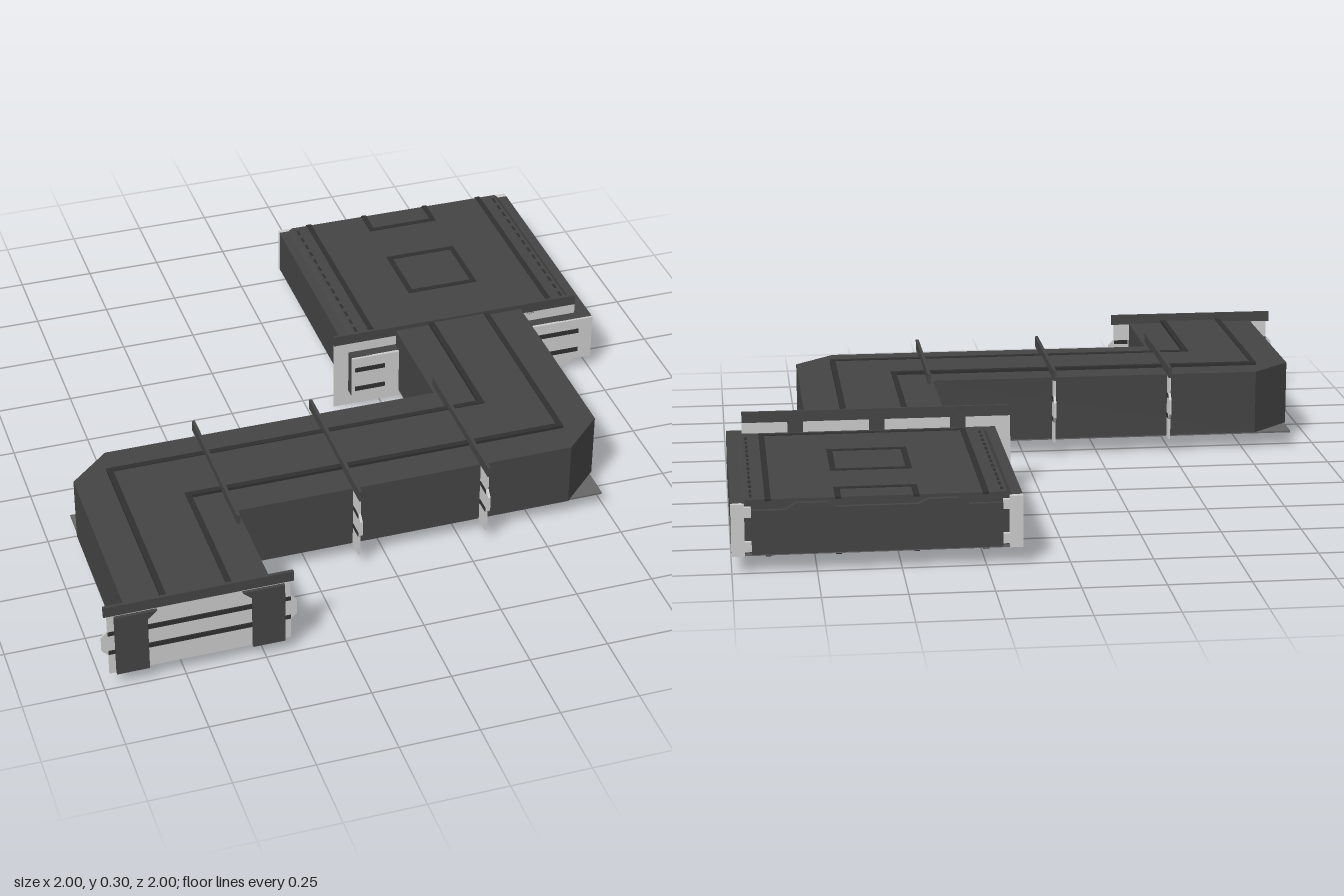
import * as THREE from 'three';

const mat = (color) => new THREE.MeshStandardMaterial({ color });
const DARK = mat(0x444444), TRIM = mat(0x303030), FLOOR = mat(0x666666), GREY = mat(0xcccccc);

export function createModel() {
  const root = new THREE.Group();

  const add = (parent, name, geometry, material) => {
    const mesh = new THREE.Mesh(geometry, material);
    mesh.name = name;
    parent.add(mesh);
    return mesh;
  };
  // Box given by its limits on each axis
  const box = (parent, name, [x0, x1], [y0, y1], [z0, z1], material) => {
    const mesh = add(parent, name, new THREE.BoxGeometry(x1 - x0, y1 - y0, z1 - z0), material);
    mesh.position.set((x0 + x1) / 2, (y0 + y1) / 2, (z0 + z1) / 2);
    return mesh;
  };
  // Horizontal slab from an outline of [x, z] points
  const slab = (parent, name, points, y0, y1, material) => {
    const shape = new THREE.Shape(points.map(([x, z]) => new THREE.Vector2(x, -z)));
    const g = new THREE.ExtrudeGeometry(shape, { depth: y1 - y0, bevelEnabled: false });
    g.rotateX(-Math.PI / 2).translate(0, y0, 0);
    return add(parent, name, g, material);
  };
  // Thin strips following a path of axis-aligned [x, z] points
  const strips = (parent, name, points, y0, y1, w = 0.018) => {
    for (let i = 0; i + 1 < points.length; i++) {
      const [a, b] = [points[i], points[i + 1]];
      box(parent, name,
        [Math.min(a[0], b[0]) - w / 2, Math.max(a[0], b[0]) + w / 2], [y0, y1],
        [Math.min(a[1], b[1]) - w / 2, Math.max(a[1], b[1]) + w / 2], TRIM);
    }
  };

  // Corridor: Z-shaped hull with chamfered outer corners
  const corridor = new THREE.Group();
  corridor.name = 'corridor';
  root.add(corridor);
  const hull = [[-0.92, 0.985], [-0.475, 0.985], [-0.475, 0.615], [0.62, 0.615], [0.75, 0.49],
    [0.75, -0.18], [0.305, -0.18], [0.305, 0.2], [-0.79, 0.2], [-0.92, 0.32]];
  const base = [[-0.915, 0.985], [-0.475, 0.985], [-0.475, 0.605], [0.74, 0.605],
    [0.74, -0.18], [0.305, -0.18], [0.305, 0.208], [-0.915, 0.208]];
  slab(corridor, 'corridorWalls', hull, 0.056, 0.268, DARK);
  slab(corridor, 'corridorFloor', base, 0.05, 0.056, FLOOR);
  slab(corridor, 'corridorRoofBand', [[-0.8, 0.985], [-0.6, 0.985], [-0.6, 0.5], [0.63, 0.5],
    [0.63, -0.18], [0.43, -0.18], [0.43, 0.3], [-0.8, 0.3]], 0.268, 0.275, DARK);
  const lines = [
    [[-0.8, 0.975], [-0.8, 0.305], [0.43, 0.305], [0.43, -0.17]],
    [[-0.6, 0.975], [-0.6, 0.5], [0.625, 0.5], [0.625, -0.17]],
  ];
  for (const line of lines) {
    strips(corridor, 'roofTrim', line, 0.266, 0.278);
    strips(corridor, 'floorTrim', line, 0.048, 0.054);
  }

  // Bulkhead frame in its own XY plane, centred on x = 0
  const bulkhead = (name, half) => {
    const frame = new THREE.Group();
    frame.name = name;
    const s = new THREE.Shape();
    const side = [[half, 0.05], [half, 0.12], [half + 0.02, 0.14], [half + 0.02, 0.19], [half, 0.21], [half, 0.266]];
    s.setFromPoints([...side, ...side.map(([x, y]) => [-x, y]).reverse()].map((p) => new THREE.Vector2(...p)));
    const g = new THREE.ExtrudeGeometry(s, { depth: 0.008, bevelEnabled: false }).translate(0, 0, -0.004);
    add(frame, 'framePlate', g, GREY);
    box(frame, 'frameTopBar', [-half - 0.01, half + 0.01], [0.265, 0.3], [-0.005, 0.005], DARK);
    for (const sgn of [-1, 1]) for (const y of [0.13, 0.2]) {
      const rib = box(frame, 'frameRib', [-0.025, 0.025], [y - 0.007, y + 0.007], [-0.006, 0.006], TRIM);
      rib.position.x = sgn * (half - 0.025);
    }
    root.add(frame);
    return frame;
  };
  for (const x of [-0.49, -0.1, 0.32]) {
    const frame = bulkhead('corridorFrame', 0.25);
    frame.rotation.y = Math.PI / 2;
    frame.position.set(x, 0, 0.42);
  }

  // Corridor end with closed door
  const end = bulkhead('endFrame', 0.28);
  end.position.set(-0.7, 0, 0.985);
  for (const sgn of [-1, 1]) {
    const post = box(end, 'doorPost', [-0.05, 0.05], [0.05, 0.262], [0, 0.015], DARK);
    post.position.x = sgn * 0.21;
    const corner = new THREE.Shape([[0.16, 0.262], [0.13, 0.262], [0.16, 0.235]]
      .map(([x, y]) => new THREE.Vector2(sgn * x, y)));
    add(end, 'doorCorner', new THREE.ExtrudeGeometry(corner, { depth: 0.015, bevelEnabled: false }), DARK);
  }
  for (const y of [0.13, 0.2])
    box(end, 'doorStripe', [-0.16, 0.16], [y - 0.008, y + 0.008], [0, 0.008], TRIM);

  // Room
  const room = new THREE.Group();
  room.name = 'room';
  root.add(room);
  box(room, 'roomWalls', [0.14, 1], [0.056, 0.21], [-0.985, -0.15], DARK);
  box(room, 'roomFloor', [0.15, 0.99], [0.05, 0.056], [-0.99, -0.15], FLOOR);
  // Raised roof panel with sloped edges
  const roof = box(room, 'roomRoof', [0.17, 0.97], [0.208, 0.22], [-0.985, -0.235], DARK);
  const rp = roof.geometry.attributes.position;
  for (let i = 0; i < rp.count; i++) if (rp.getY(i) > 0) {
    rp.setX(i, rp.getX(i) * 0.96);
    if (rp.getZ(i) > 0) rp.setZ(i, rp.getZ(i) - 0.025);
  }
  roof.geometry.computeVertexNormals();

  // Front face of the room: light panels with stripes either side of the corridor
  for (const [x0, x1] of [[0.14, 0.304], [0.751, 1]]) {
    box(room, 'frontPanel', [x0, x1], [0.052, 0.21], [-0.152, -0.142], GREY);
    for (const y of [0.09, 0.165])
      box(room, 'frontStripe', [x0 + 0.01, x1 - 0.05], [y - 0.008, y + 0.008], [-0.15, -0.139], TRIM);
  }
  // Back face: notched wall and light corner brackets
  const notch = [[0.2, 0.056], [0.94, 0.056], [0.94, 0.19], [0.84, 0.19], [0.81, 0.21], [0.72, 0.21], [0.69, 0.195],
    [0.45, 0.195], [0.42, 0.21], [0.33, 0.21], [0.3, 0.19], [0.2, 0.19]].map((p) => new THREE.Vector2(...p));
  add(room, 'backWall', new THREE.ExtrudeGeometry(new THREE.Shape(notch),
    { depth: 0.015, bevelEnabled: false }).translate(0, 0, -1), DARK);
  for (const [x0, x1, f0, f1] of [[0.14, 0.18, 0.18, 0.2], [0.96, 1, 0.94, 0.96]]) {
    box(room, 'backPost', [x0, x1], [0.052, 0.21], [-1, -0.98], GREY);
    for (const y of [0.065, 0.17])
      box(room, 'backBracket', [f0, f1], [y, y + 0.03], [-1, -0.98], GREY);
  }

  // Trim outlines on the roof and underside
  const square = [[0.455, -0.69], [0.685, -0.69], [0.685, -0.465], [0.455, -0.465], [0.455, -0.69]];
  const half = [[0.455, -0.98], [0.455, -0.89], [0.685, -0.89], [0.685, -0.98]];
  const border = [[0.25, -0.98], [0.25, -0.26], [0.89, -0.26], [0.89, -0.98]];
  for (const line of [square, half, border]) {
    strips(room, 'roomRoofTrim', line, 0.215, 0.222);
    strips(room, 'roomFloorTrim', line, 0.047, 0.054);
  }
  for (let i = 0; i < 14; i++)
    for (const x of [0.2, 0.94])
      box(room, 'roofRivet', [x - 0.004, x + 0.004], [0.212, 0.222], [-0.96 + i * 0.05, -0.935 + i * 0.05], TRIM);

  // Bulkhead plate standing through the room beside the corridor
  const plate = new THREE.Group();
  plate.name = 'roomBulkhead';
  root.add(plate);
  box(plate, 'bulkheadPlate', [0.09, 0.95], [0, 0.25], [-0.194, -0.186], GREY);
  box(plate, 'bulkheadTopBar', [0.09, 0.95], [0.245, 0.28], [-0.195, -0.185], DARK);
  for (const x of [0.26, 0.52, 0.78])
    box(plate, 'bulkheadRib', [x - 0.025, x + 0.025], [0.2, 0.25], [-0.197, -0.186], DARK);

  return root;
}
